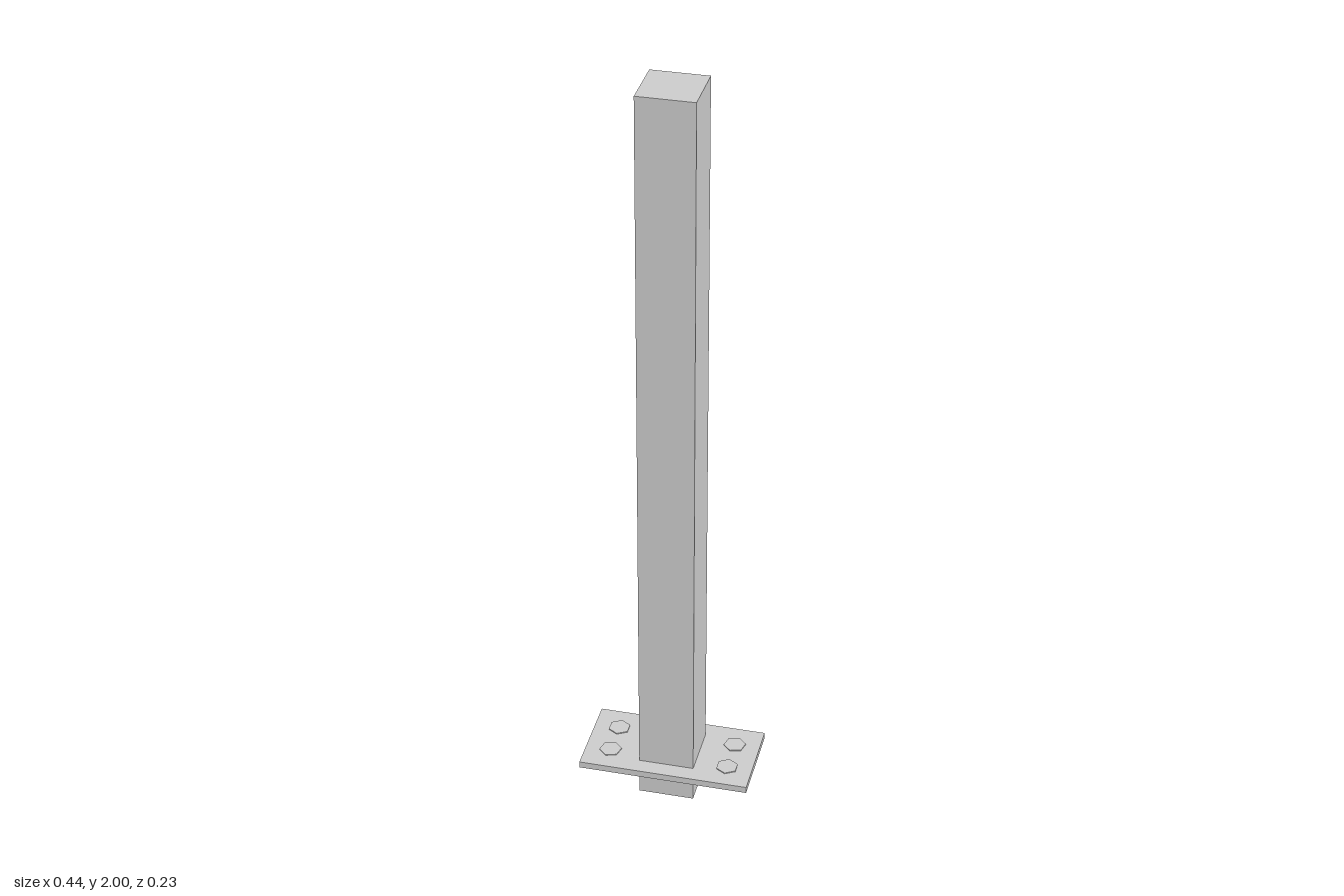
import * as THREE from 'three';

export function createModel() {
  const model = new THREE.Group();
  const material = new THREE.MeshStandardMaterial({ color: 0xcccccc, flatShading: true });
  const thin = material.clone();
  thin.side = THREE.DoubleSide;

  const add = (name, geometry, mat, x, y, z) => {
    const mesh = new THREE.Mesh(geometry, mat);
    mesh.name = name;
    mesh.position.set(x, y, z);
    model.add(mesh);
    return mesh;
  };

  // Square post running through the plate
  add('post', new THREE.BoxGeometry(0.144, 2, 0.144), material, 0, 1, 0);

  // Mounting plate: a shallow cover, open underneath (bottom face dropped)
  const plate = new THREE.BoxGeometry(0.444, 0.018, 0.23);
  const faces = Array.from(plate.index.array);
  faces.splice(18, 6);
  plate.setIndex(faces);
  plate.clearGroups();
  add('mountingPlate', plate, thin, 0, 0.092, 0);

  // Low hexagonal bolt heads, one diagonal pair turned slightly
  const bolt = new THREE.CylinderGeometry(0.029, 0.029, 0.003, 6);
  for (const sx of [-1, 1]) {
    for (const sz of [-1, 1]) {
      const head = add('boltHead', bolt, material, sx * 0.156, 0.1022, sz * 0.0465 - 0.0015);
      head.rotation.y = sx === sz ? 0 : THREE.MathUtils.degToRad(-14);
    }
  }
  return model;
}
